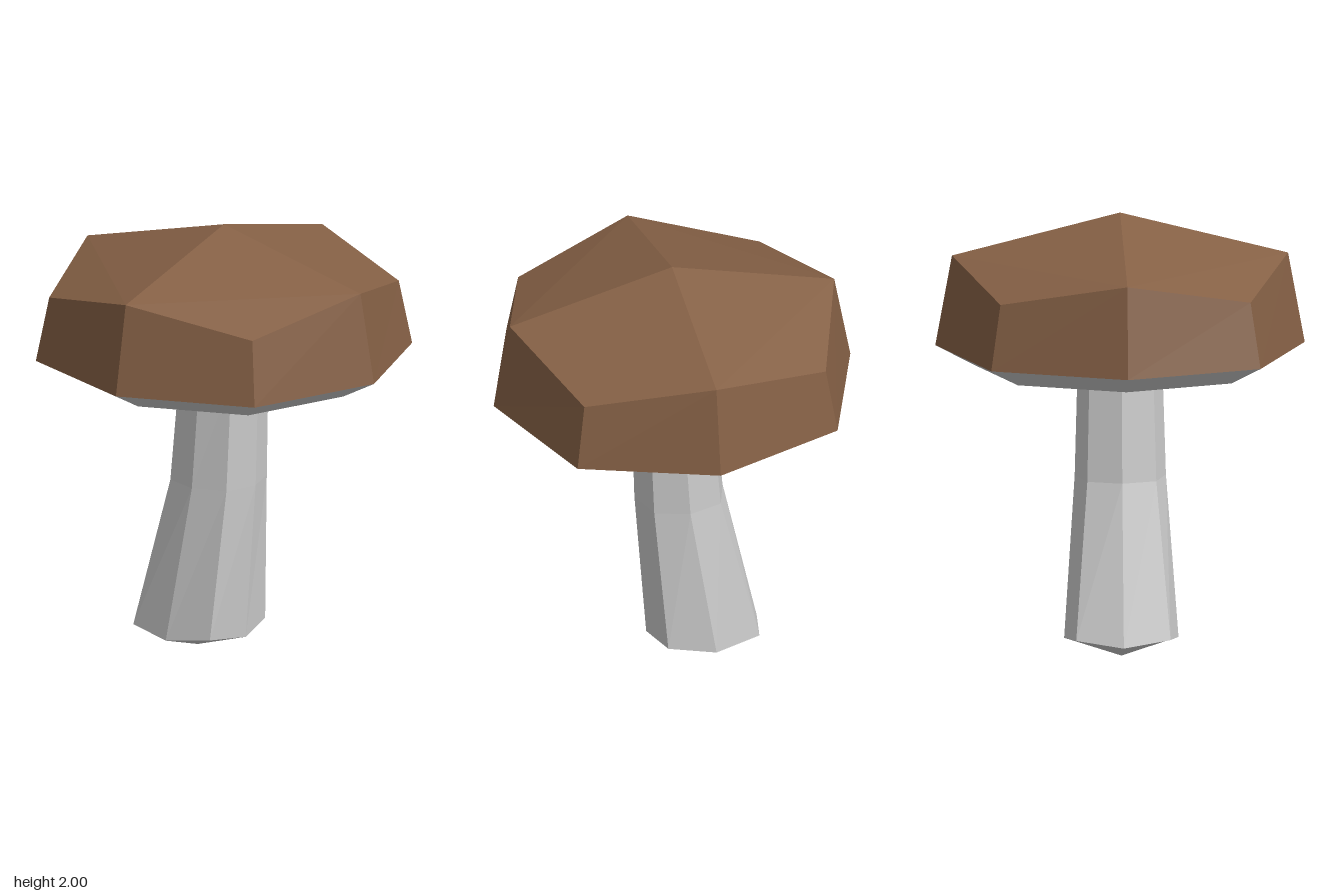
import * as THREE from 'three';

// Eight-sided ring: four points on the axes (radius a, height ya) and four diagonal points (x = z = d, height yd)
function ring(a, ya, d, yd, cz = 0) {
  return Array.from({ length: 8 }, (_, k) => {
    const t = (k * Math.PI) / 4;
    const diagonal = k % 2 === 1;
    const r = diagonal ? d * Math.SQRT2 : a;
    return new THREE.Vector3(Math.sin(t) * r, diagonal ? yd : ya, Math.cos(t) * r + cz);
  });
}

// Faceted skin through the rings (bottom to top), closed by optional points at either end
function loft(rings, bottom, top) {
  const points = [];
  const tri = (...corners) => points.push(...corners);
  for (let i = 0; i + 1 < rings.length; i++) {
    const lo = rings[i], hi = rings[i + 1];
    for (let k = 0; k < 8; k++) {
      const n = (k + 1) % 8;
      tri(lo[k], lo[n], hi[n], lo[k], hi[n], hi[k]);
    }
  }
  const first = rings[0], last = rings[rings.length - 1];
  for (let k = 0; k < 8; k += 2) {
    const m = k + 1, n = (k + 2) % 8;
    if (top) tri(top, last[k], last[n], last[k], last[m], last[n]);
    if (bottom) tri(bottom, first[n], first[k], first[k], first[n], first[m]);
  }
  const geometry = new THREE.BufferGeometry().setFromPoints(points);
  geometry.computeVertexNormals();
  return geometry;
}

export function createModel() {
  const group = new THREE.Group();
  const grey = new THREE.MeshStandardMaterial({ color: 0xcccccc, flatShading: true });
  const brown = new THREE.MeshStandardMaterial({ color: 0x856045, flatShading: true });
  const add = (name, geometry, material) => {
    const mesh = new THREE.Mesh(geometry, material);
    mesh.name = name;
    group.add(mesh);
  };

  // Cap rim, shared by the cap and its underside
  const rim = ring(0.83, 1.4, 0.605, 1.4);

  // Cap: tapered sides under a shallow pointed roof
  add('cap', loft([rim, ring(0.755, 1.81, 0.562, 1.695)], null, new THREE.Vector3(0, 2, 0)), brown);

  // Underside: bevel and flat bottom
  add('capUnderside', loft([ring(0.66, 1.31, 0.48, 1.31), rim], new THREE.Vector3(0, 1.31, 0), null), grey);

  // Stem: flared foot leaning to the back, blunt pointed base
  add('stem', loft([
    ring(0.257, 0.082, 0.212, 0.11, -0.137),
    ring(0.205, 0.805, 0.155, 0.805, -0.03),
    ring(0.19, 1.32, 0.143, 1.32, 0),
  ], new THREE.Vector3(0, 0, -0.145), null), grey);

  return group;
}
